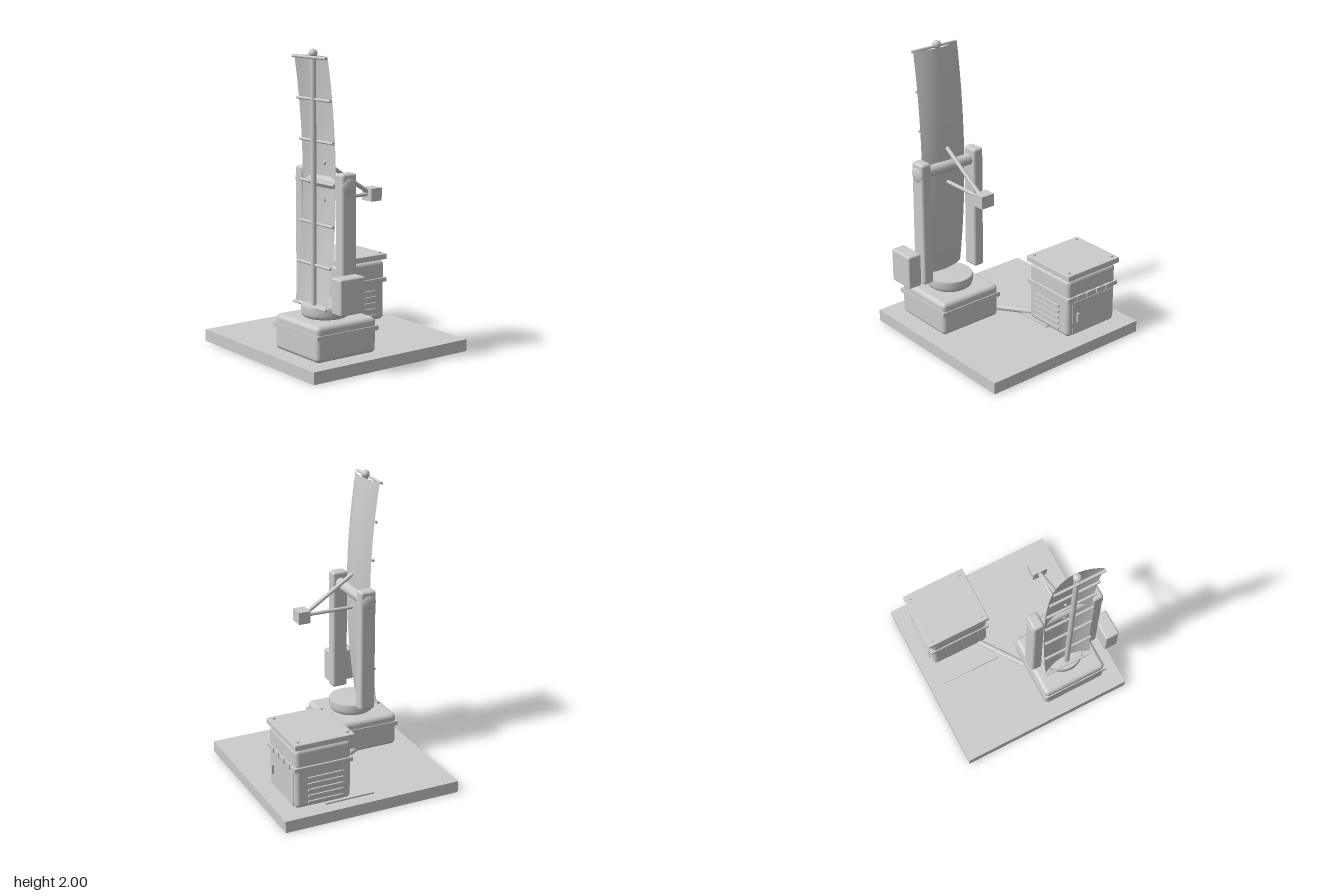
import * as THREE from 'three';
import { RoundedBoxGeometry } from 'three/addons/geometries/RoundedBoxGeometry.js';

export function createModel() {
  const model = new THREE.Group();
  const mat = new THREE.MeshStandardMaterial({ color: 0xcccccc });
  const sheetMat = new THREE.MeshStandardMaterial({ color: 0xcccccc, side: THREE.DoubleSide });

  const add = (name, geo, x = 0, y = 0, z = 0, parent = model, material = mat) => {
    const mesh = new THREE.Mesh(geo, material);
    mesh.name = name;
    mesh.position.set(x, y, z);
    parent.add(mesh);
    return mesh;
  };
  const group = (name) => {
    const g = new THREE.Group();
    g.name = name;
    model.add(g);
    return g;
  };
  // box given by its min and max on each axis; r > 0 rounds the edges
  const box = (name, [x0, x1], [y0, y1], [z0, z1], r = 0, parent = model) => {
    const s = [x1 - x0, y1 - y0, z1 - z0];
    const geo = r ? new RoundedBoxGeometry(...s, 4, r) : new THREE.BoxGeometry(...s);
    return add(name, geo, (x0 + x1) / 2, (y0 + y1) / 2, (z0 + z1) / 2, parent);
  };
  // round bar between two points
  const bar = (name, a, b, r, parent = model) => {
    const p = new THREE.Vector3(...a), q = new THREE.Vector3(...b);
    const dir = q.clone().sub(p);
    const mesh = add(name, new THREE.CylinderGeometry(r, r, dir.length(), 20), 0, 0, 0, parent);
    mesh.position.copy(p).add(q).multiplyScalar(0.5);
    mesh.quaternion.setFromUnitVectors(new THREE.Vector3(0, 1, 0), dir.normalize());
    return mesh;
  };

  const CX = -0.275, CZ = 0.263, AXLE_Y = 1.17;

  // Ground slab
  box('baseSlab', [-0.62, 0.62], [0, 0.08], [-0.63, 0.61]);

  // Pedestal with its rim and turntable
  const pedestal = group('pedestal');
  box('pedestalBody', [-0.507, -0.043], [0.08, 0.312], [0.03, 0.495], 0.03, pedestal);
  box('pedestalRim', [-0.514, -0.036], [0.226, 0.256], [0.023, 0.502], 0, pedestal);
  const disc = [[0, 0.31], [0.135, 0.31], [0.148, 0.32], [0.155, 0.34], [0.155, 0.385], [0.15, 0.392], [0, 0.392]];
  add('turntable', new THREE.LatheGeometry(disc.map((p) => new THREE.Vector2(...p)), 48), CX, 0, CZ, pedestal);

  // Fork: two posts, axle and side caps
  const fork = group('fork');
  for (const side of [-1, 1]) {
    const zc = CZ + side * 0.213;
    box('forkPost', [-0.33, -0.218], [0.395, 1.25], [zc - 0.039, zc + 0.039], 0.018, fork);
    add('axleCap', new THREE.SphereGeometry(0.055, 32, 20), CX, AXLE_Y, zc + side * 0.03, fork).scale.z = 0.35;
  }
  bar('axle', [CX, AXLE_Y, CZ - 0.2], [CX, AXLE_Y, CZ + 0.2], 0.038, fork);
  box('driveBox', [-0.427, -0.237], [0.395, 0.625], [0.525, 0.625], 0.012, fork);

  // Curved reflector: bowed along its height and across its width
  const HALF_W = 0.174, Y0 = 0.39, Y1 = 1.958;
  const bow = (y) => -0.1 * (y - AXLE_Y) ** 2;
  const reflector = group('reflector');
  const sheet = new THREE.PlaneGeometry(2 * HALF_W, Y1 - Y0, 16, 40);
  const pos = sheet.attributes.position;
  for (let i = 0; i < pos.count; i++) {
    const w = pos.getX(i), y = pos.getY(i) + (Y0 + Y1) / 2;
    pos.setXYZ(i, CX + bow(y) - 0.048 * (w / HALF_W) ** 2, y, CZ - w);
  }
  sheet.computeVertexNormals();
  add('reflectorSheet', sheet, 0, 0, 0, reflector, sheetMat);

  // Frame behind the reflector: spine, cross ribs and tip ball
  for (let i = 0; i < 7; i++) {
    const y = 0.39 + 0.26 * i, x = -0.337 + bow(y);
    bar('crossRib', [x, y, CZ - HALF_W], [x, y, CZ + HALF_W], 0.009, reflector);
  }
  bar('spine', [-0.366, 0.39, CZ], [-0.366, 1.96, CZ], 0.018, reflector);
  add('tipBall', new THREE.SphereGeometry(0.028, 24, 16), -0.368, 1.972, CZ, reflector);

  // Receiver held out in front by two struts
  const receiver = group('receiver');
  bar('upperStrut', [-0.275, 1.29, CZ], [0.08, 1.06, CZ], 0.014, receiver);
  bar('lowerStrut', [-0.29, 1.055, CZ], [0.08, 1.055, CZ], 0.012, receiver);
  add('upperStrutEnd', new THREE.SphereGeometry(0.014, 16, 12), -0.275, 1.29, CZ, receiver);
  box('receiverBox', [0.054, 0.138], [1.013, 1.097], [CZ - 0.05, CZ + 0.05], 0, receiver);

  // Cabinet with rim, neck and bolted lid
  const cabinet = group('cabinet');
  box('cabinetBody', [0.115, 0.505], [0.085, 0.502], [-0.53, -0.107], 0.03, cabinet);
  box('cabinetNeck', [0.15, 0.47], [0.49, 0.515], [-0.495, -0.145], 0, cabinet);
  box('cabinetRim', [0.107, 0.516], [0.35, 0.38], [-0.54, -0.098], 0.004, cabinet);
  box('cabinetLid', [0.102, 0.516], [0.508, 0.547], [-0.55, -0.095], 0.005, cabinet);
  for (const x of [0.138, 0.479]) for (const z of [-0.511, -0.132]) {
    add('lidBolt', new THREE.CylinderGeometry(0.011, 0.011, 0.014, 12), x, 0.551, z, cabinet);
  }
  for (let i = 0; i < 5; i++) {
    const y = 0.125 + 0.042 * i;
    for (const z of [-0.532, -0.105]) {
      box('louver', [0.175, 0.42], [y - 0.007, y + 0.007], [z - 0.009, z + 0.009], 0, cabinet);
    }
  }
  for (let i = 0; i < 4; i++) {
    const z = -0.193 - 0.086 * i;
    box('rimBlock', [0.5, 0.522], [0.348, 0.383], [z - 0.02, z + 0.02], 0, cabinet);
  }
  box('door', [0.49, 0.509], [0.1, 0.335], [-0.497, -0.147], 0, cabinet);
  box('doorHandle', [0.5, 0.523], [0.188, 0.25], [-0.197, -0.179], 0, cabinet);

  // Floor plate and conduit between pedestal and cabinet
  box('floorPlate', [-0.043, 0.3], [0.075, 0.09], [-0.54, -0.1]);
  bar('conduit', [-0.22, 0.098, 0.065], [0.22, 0.098, -0.245], 0.019);

  return model;
}
